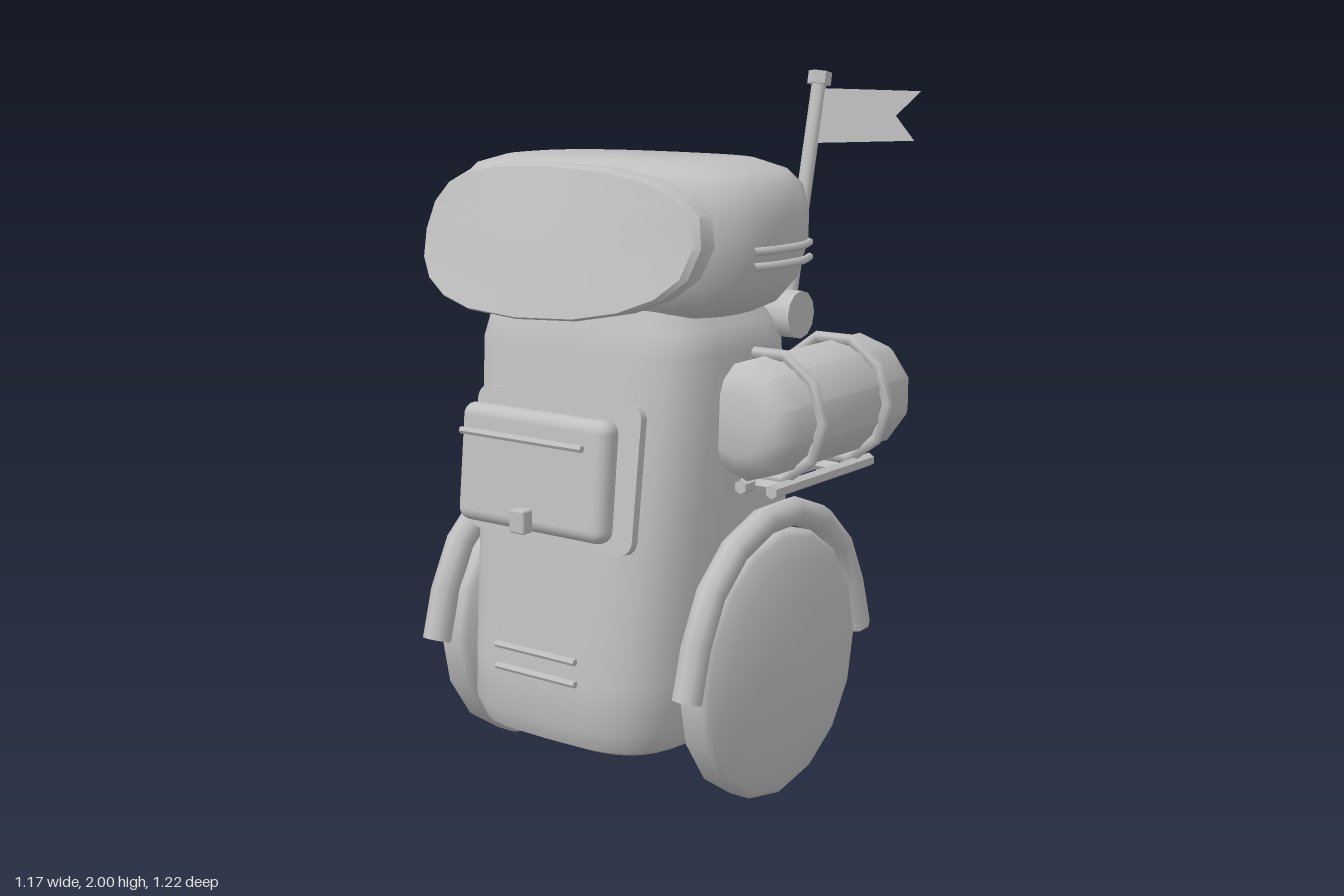
import * as THREE from 'three';
import { toCreasedNormals } from 'three/addons/utils/BufferGeometryUtils.js';
import { RoundedBoxGeometry } from 'three/addons/geometries/RoundedBoxGeometry.js';

const CX = -0.05; // the body's plane of symmetry
const V = (x, y, z) => new THREE.Vector3(x, y, z);

export function createModel() {
  const model = new THREE.Group();
  const grey = new THREE.MeshStandardMaterial({ color: 0xc0c0c0 });
  grey.name = 'plain grey';
  const add = (name, geo, x = 0, y = 0, z = 0) => {
    const m = new THREE.Mesh(geo, grey);
    m.name = name;
    m.position.set(x, y, z);
    model.add(m);
    return m;
  };

  // point on a unit superellipse
  const superPoint = (t, n) => {
    const c = Math.cos(t), s = Math.sin(t);
    return [Math.sign(c) * Math.abs(c) ** (2 / n), Math.sign(s) * Math.abs(s) ** (2 / n)];
  };

  // skin over closed rings with both ends capped
  const loft = (rings, crease = 0.7) => {
    const pos = [], n = rings[0].length;
    const tri = (...p) => p.forEach(v => pos.push(v.x, v.y, v.z));
    const mid = r => r.reduce((a, v) => a.add(v), V(0, 0, 0)).divideScalar(n);
    const first = rings[0], last = rings[rings.length - 1], c0 = mid(first), c1 = mid(last);
    for (let j = 0; j < n; j++) {
      const k = (j + 1) % n;
      for (let i = 0; i < rings.length - 1; i++) {
        const a = rings[i], b = rings[i + 1];
        tri(a[j], b[j], a[k]);
        tri(a[k], b[j], b[k]);
      }
      tri(c0, first[j], first[k]);
      tri(c1, last[k], last[j]);
    }
    const g = new THREE.BufferGeometry();
    g.setAttribute('position', new THREE.Float32BufferAttribute(pos, 3));
    return toCreasedNormals(g, crease);
  };

  // horizontal ring from [y, half width, front z, back z]
  const ring = (n, seg) => ([y, hw, zf, zb]) => Array.from({ length: seg }, (_, i) => {
    const [c, s] = superPoint((i / seg) * Math.PI * 2, n);
    return V(CX + c * hw, y, (zf + zb) / 2 + s * (zf - zb) / 2);
  });

  // straight capped rod between two points
  const rod = (name, a, b, r, sides = 8) => {
    const g = toCreasedNormals(new THREE.CylinderGeometry(r, r, a.distanceTo(b), sides), 0.9);
    const m = add(name, g);
    m.position.copy(a).add(b).multiplyScalar(0.5);
    m.quaternion.setFromUnitVectors(V(0, 1, 0), b.clone().sub(a).normalize());
    return m;
  };

  // tapering body
  add('body', loft([
    [0.17, 0.29, 0.44, -0.27], [0.2, 0.335, 0.5, -0.315], [0.26, 0.355, 0.525, -0.335],
    [0.39, 0.36, 0.515, -0.33], [1.27, 0.39, 0.41, -0.2], [1.34, 0.37, 0.395, -0.18],
    [1.38, 0.33, 0.38, -0.16], [1.45, 0.3, 0.36, -0.12],
  ].map(ring(3.8, 32))));

  // padded head
  add('head', loft([
    [1.37, 0.38, 0.34, -0.08], [1.4, 0.445, 0.385, -0.13], [1.46, 0.495, 0.41, -0.165],
    [1.56, 0.523, 0.428, -0.187], [1.64, 0.523, 0.428, -0.19], [1.71, 0.505, 0.415, -0.178],
    [1.75, 0.46, 0.39, -0.155], [1.775, 0.365, 0.345, -0.112],
  ].map(ring(2.7, 28))));

  // slanted, bowed face plate, from its front centre to its back
  const faceRing = ([s, back]) => Array.from({ length: 20 }, (_, i) => {
    const [c, q] = superPoint((i / 20) * Math.PI * 2, 2.5);
    const u = c * s, v = q * s * 0.197;
    return V(CX + u * 0.47, 1.575 + v, 0.54 - 0.33 * v - 0.1 * u * u - back);
  });
  add('facePlate', loft([[0.05, 0], [0.5, 0], [0.97, 0], [1, 0.012], [1.005, 0.065], [0.95, 0.085], [0.75, 0.13]]
    .map(faceRing), 0.6));

  // pairs of vent bars following the sides of the head
  for (const side of [-1, 1]) {
    for (const y of [1.515, 1.555]) {
      const pts = [-0.05, 0.03, 0.12, 0.19, 0.25].map(z => {
        const w = 0.52 * (1 - (Math.abs(z - 0.12) / 0.31) ** 2.7) ** (1 / 2.7);
        return V(CX + side * (w + 0.006), y, z);
      });
      add('headVent', new THREE.TubeGeometry(new THREE.CatmullRomCurve3(pts), 8, 0.011, 6));
    }
  }

  // lens-shaped wheel turning on the x axis
  const wheel = (name, x, y, z, r, w, seg) => {
    const half = [[0, 1], [0.18, 0.98], [0.5, 0.88], [0.8, 0.66], [0.95, 0.45], [1, 0.3]];
    const pts = [...half.map(([a, b]) => [a, -b]), ...half.slice().reverse()]
      .map(([a, b]) => new THREE.Vector2(a * r, b * w));
    add(name, new THREE.LatheGeometry(pts, seg).rotateZ(Math.PI / 2), x, y, z);
  };

  // side wheels and their arched fenders
  const arch = [[0.385, 0.455], [0.6, 0.385], [0.72, 0.285], [0.795, 0.14], [0.8, -0.07],
    [0.72, -0.23], [0.6, -0.325], [0.385, -0.4]];
  for (const side of [-1, 1]) {
    wheel('sideWheel', CX + side * 0.43, 0.385, 0.035, 0.382, 0.11, 16);
    const x = CX + side * 0.448;
    const pts = arch.map(([y, z]) => V(x, y, z));
    add('fender', new THREE.TubeGeometry(new THREE.CatmullRomCurve3(pts), 9, 0.041, 8));
    for (const [p, q] of [[pts[0], pts[1]], [pts[7], pts[6]]]) {
      const d = q.clone().sub(p).normalize();
      rod('fenderEnd', p, p.clone().addScaledVector(d, 0.02), 0.041);
    }
    // fork holding the tail wheel
    rod('tailFork', V(CX + side * 0.042, 0.32, -0.28), V(CX + side * 0.042, 0.2, -0.43), 0.026);
  }
  wheel('tailWheel', CX, 0.175, -0.44, 0.167, 0.054, 14);

  // front pocket, leaning with the body
  const lean = -0.13;
  const plateShape = new THREE.Shape();
  const pw = 0.285, ph = 0.2, pr = 0.04;
  plateShape.absarc(pw - pr, ph - pr, pr, 0, Math.PI / 2);
  plateShape.absarc(pr - pw, ph - pr, pr, Math.PI / 2, Math.PI);
  plateShape.absarc(pr - pw, pr - ph, pr, Math.PI, Math.PI * 1.5);
  plateShape.absarc(pw - pr, pr - ph, pr, Math.PI * 1.5, Math.PI * 2);
  add('pocketBacking', new THREE.ExtrudeGeometry(plateShape, { depth: 0.025, bevelEnabled: false, curveSegments: 4 }),
    CX, 0.953, 0.432).rotation.x = lean;
  add('pocket', new RoundedBoxGeometry(0.51, 0.325, 0.075, 3, 0.034), CX, 0.96, 0.522).rotation.x = lean * 0.8;
  rod('pocketSeam', V(CX - 0.21, 1.058, 0.588), V(CX + 0.21, 1.058, 0.588), 0.01, 6);
  add('pocketClasp', new RoundedBoxGeometry(0.052, 0.065, 0.04, 1, 0.006), CX, 0.837, 0.59);

  // lower vent bars on the front
  for (const y of [0.395, 0.457]) rod('frontVent', V(CX - 0.14, y, 0.54), V(CX + 0.14, y, 0.54), 0.01, 6);

  // rolled bundle with two straps
  const rollProfile = [[0, -0.455], [0.145, -0.455], [0.168, -0.41], [0.165, 0.16], [0.13, 0.205], [0.09, 0.22], [0, 0.22]]
    .map(([r, z]) => new THREE.Vector2(r, z));
  const roll = toCreasedNormals(new THREE.LatheGeometry(rollProfile, 10).rotateX(Math.PI / 2), 0.7);
  add('bundle', roll, 0.383, 1.09, 0);
  for (const z of [0.067, -0.27]) add('bundleStrap', new THREE.TorusGeometry(0.178, 0.017, 6, 10), 0.383, 1.09, z);

  // rack under the bundle
  for (const x of [0.36, 0.46]) rod('rackRail', V(x, 0.905, 0.16), V(x, 0.905, -0.345), 0.02, 6);
  for (const z of [0.1, -0.2]) rod('rackArm', V(0.24, 0.905, z), V(0.47, 0.905, z), 0.016, 6);

  // mast with socket, cap and swallow-tailed flag
  rod('mastSocket', V(0.2, 1.34, -0.135), V(0.357, 1.34, -0.135), 0.067, 12);
  rod('mast', V(0.302, 1.36, -0.155), V(0.302, 1.975, -0.298), 0.021);
  rod('mastCap', V(0.302, 1.965, -0.296), V(0.302, 2, -0.303), 0.033, 6);
  const flagShape = new THREE.Shape([[0, 1.805], [0.285, 1.812], [0.225, 1.88], [0.285, 1.947], [0, 1.955]]
    .map(([u, y]) => new THREE.Vector2(u, y)));
  const flag = new THREE.ExtrudeGeometry(flagShape, { depth: 0.014, bevelEnabled: false });
  flag.translate(0, 0, -0.007).rotateY(0.57);
  const p = flag.attributes.position;
  for (let i = 0; i < p.count; i++) p.setZ(i, p.getZ(i) - 0.23 * (p.getY(i) - 1.88));
  flag.computeVertexNormals();
  add('flag', flag, 0.302, 0, -0.277);

  return model;
}
